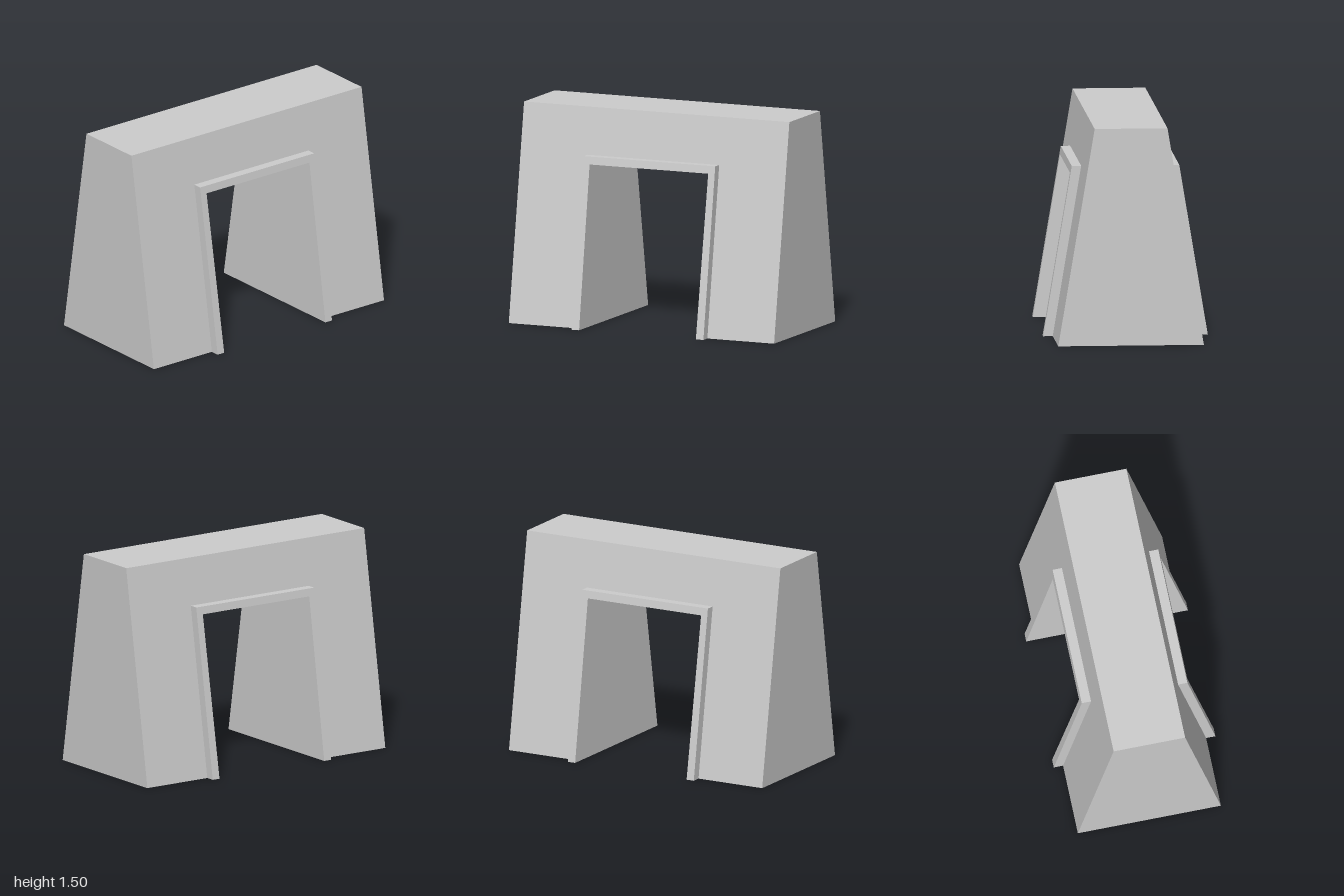
import * as THREE from 'three';

const TRIM = 0.065; // how far the door frame stands proud
const slope = (y) => 0.5 - y / 6; // half depth of the tapering body at height y
const proud = (y) => slope(y) + TRIM;

const material = new THREE.MeshStandardMaterial({
  color: 0xcccccc, side: THREE.DoubleSide, flatShading: true,
});

// Symmetric arch outlines, from the foot at +x over the top to the foot at -x
const arch = (foot, head, top) => [[foot, 0], [head, top], [-head, top], [-foot, 0]];
const OUTER = arch(1, 1, 1.5);
const FRAME = arch(0.497, 0.496, 1.175);
const OPENING = arch(0.44, 0.447, 1.122);

function mesh(name, geometry) {
  const m = new THREE.Mesh(geometry, material);
  m.name = name;
  return m;
}

// Sloping flat face between two arch outlines
function archFace(outside, inside, depth) {
  const points = [...outside, ...[...inside].reverse()];
  const shape = new THREE.Shape(points.map(([x, y]) => new THREE.Vector2(x, y)));
  const geometry = new THREE.ShapeGeometry(shape);
  const pos = geometry.attributes.position;
  for (let i = 0; i < pos.count; i++) pos.setZ(i, depth(pos.getY(i)));
  geometry.computeVertexNormals();
  return geometry;
}

// Walls swept along an outline, reaching from a front depth to a back depth
function archWalls(path, front, back) {
  const v = [];
  for (let i = 0; i < path.length - 1; i++) {
    const [[px, py], [qx, qy]] = [path[i], path[i + 1]];
    const a = [px, py, front(py)], b = [px, py, back(py)];
    const c = [qx, qy, back(qy)], d = [qx, qy, front(qy)];
    v.push(...a, ...b, ...c, ...a, ...c, ...d);
  }
  const geometry = new THREE.BufferGeometry();
  geometry.setAttribute('position', new THREE.Float32BufferAttribute(v, 3));
  geometry.computeVertexNormals();
  return geometry;
}

export function createModel() {
  const model = new THREE.Group();
  model.name = 'gateway';

  // Hollow shell, open underneath
  model.add(mesh('outerWalls', archWalls(OUTER, slope, (y) => -slope(y))));
  model.add(mesh('passageWalls', archWalls([...OPENING].reverse(), proud, (y) => -proud(y))));

  // Sloping face and raised door frame, the same on front and back
  for (const [name, turn] of [['front', 0], ['back', Math.PI]]) {
    const side = new THREE.Group();
    side.name = name + 'Side';
    side.rotation.y = turn;
    side.add(
      mesh(name + 'Wall', archFace(OUTER, FRAME, slope)),
      mesh(name + 'FrameFace', archFace(FRAME, OPENING, proud)),
      mesh(name + 'FrameEdge', archWalls(FRAME, proud, slope)),
    );
    model.add(side);
  }
  return model;
}
